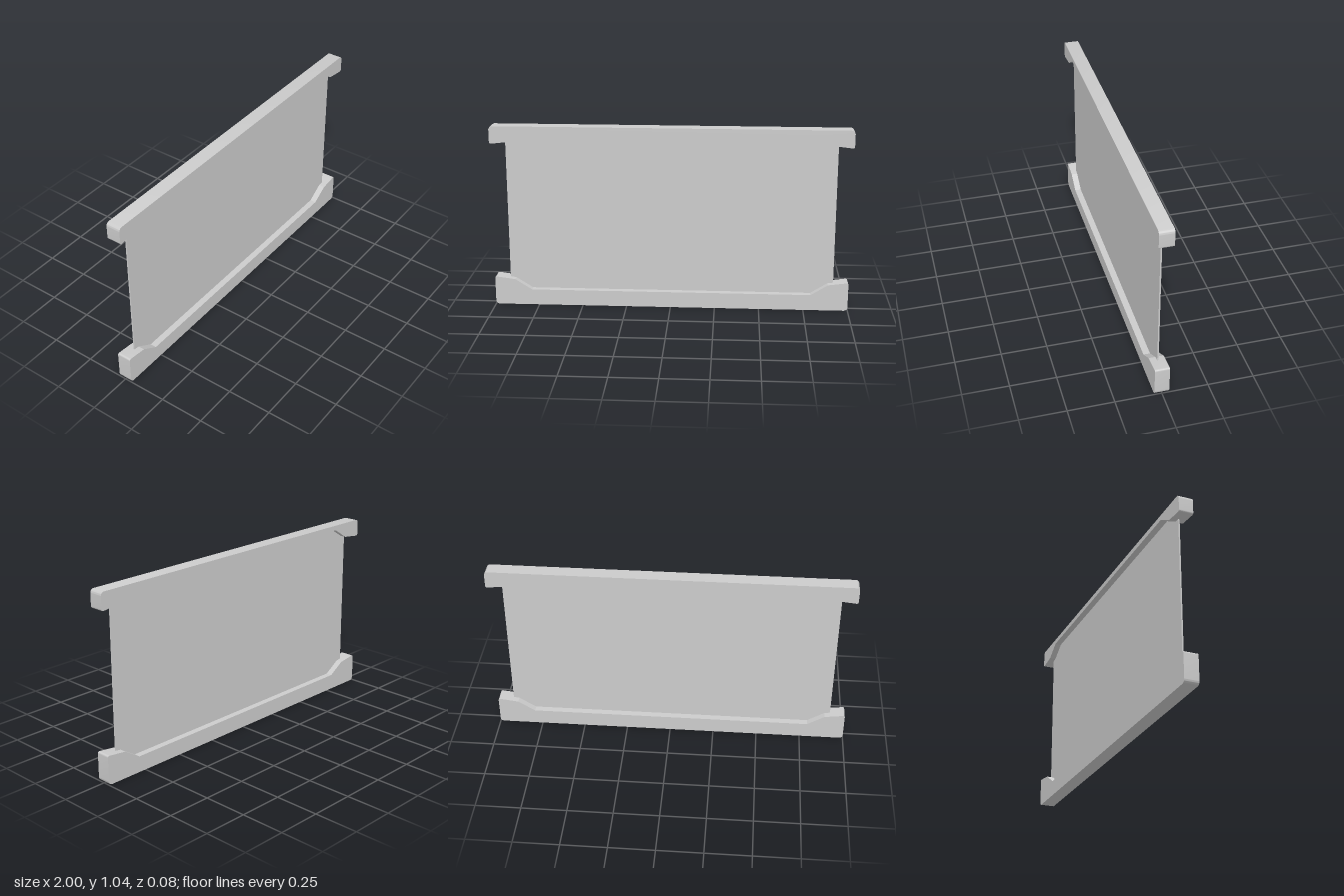
import * as THREE from 'three';
import { toCreasedNormals } from 'three/addons/utils/BufferGeometryUtils.js';

const material = new THREE.MeshStandardMaterial({ color: 0xcccccc });
const DEPTH = 0.08;

// Rail profile: flat outer edge at y = 0, inner edge rising to a thicker block at each end
function railGeometry(inner, shoulder, tip) {
  const s = new THREE.Shape();
  const r = 0.02, t = 0.012;
  s.moveTo(-1 + r, 0);
  s.lineTo(1 - r, 0);
  s.absarc(1 - r, r, r, -Math.PI / 2, 0, false);
  s.lineTo(1, tip - t);
  s.quadraticCurveTo(1, tip, 1 - t, tip - 0.001);
  s.lineTo(0.885, shoulder);
  s.lineTo(0.79, inner);
  s.lineTo(-0.79, inner);
  s.lineTo(-0.885, shoulder);
  s.lineTo(-1 + t, tip - 0.001);
  s.quadraticCurveTo(-1, tip, -1, tip - t);
  s.lineTo(-1, r);
  s.absarc(-1 + r, r, r, Math.PI, Math.PI * 1.5, false);
  const g = new THREE.ExtrudeGeometry(s, { depth: DEPTH, bevelEnabled: false, curveSegments: 8 });
  g.translate(0, 0, -DEPTH / 2);
  return toCreasedNormals(g, 0.35);
}

export function createModel() {
  const group = new THREE.Group();
  const add = (name, geometry, y) => {
    const mesh = new THREE.Mesh(geometry, material);
    mesh.name = name;
    mesh.position.y = y;
    group.add(mesh);
    return mesh;
  };

  // Thin sheet held between the two rails
  add('panel', new THREE.BoxGeometry(1.834, 0.96, 0.008), 0.54);

  // Deep rail below, slim rail above turned upside down
  add('bottomRail', railGeometry(0.09, 0.15, 0.165), 0);
  add('topRail', railGeometry(0.028, 0.086, 0.099), 1.037).rotation.z = Math.PI;

  return group;
}
